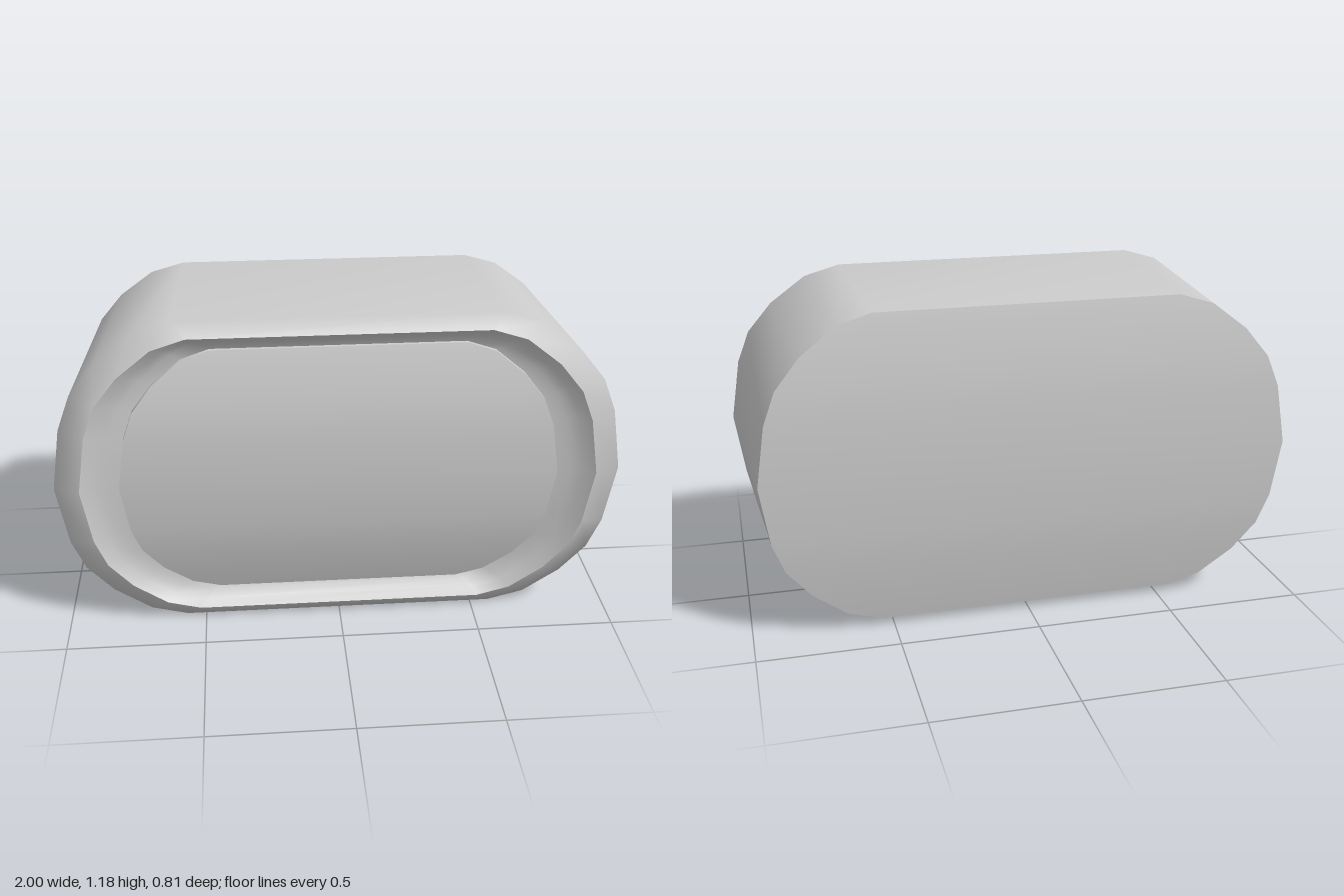
import * as THREE from 'three';

const CENTRE_Y = 0.594;
const material = new THREE.MeshStandardMaterial({ color: 0xcccccc, side: THREE.DoubleSide });

// Right-hand side of the rounded outline, unit half sizes, from bottom to top
const quarter = [[1, 0], [0.965, 0.38], [0.92, 0.58], [0.83, 0.766], [0.7, 0.934], [0.57, 1]];
const side = [...quarter.slice(1).reverse().map(([x, y]) => [x, -y]), ...quarter];

// One half of an outline; z falls off with the square of the height, giving the bowed faces
function half(sign, [a, b, z, drop]) {
  return side.map(([x, y]) => new THREE.Vector3(sign * x * a, CENTRE_Y + y * b, z - drop * y * y));
}

// Closed outline, anticlockwise as seen from the front
function ring(section) {
  return [...half(1, section), ...half(-1, section).reverse()];
}

// Skin a series of point rows
function loft(rows, closed) {
  const n = rows[0].length;
  const index = [];
  for (let r = 0; r < rows.length - 1; r++) {
    for (let i = 0; i < (closed ? n : n - 1); i++) {
      const a = r * n + i, b = r * n + (i + 1) % n;
      index.push(a, b, b + n, a, b + n, a + n);
    }
  }
  const geometry = new THREE.BufferGeometry().setFromPoints(rows.flat());
  geometry.setIndex(index);
  geometry.computeVertexNormals();
  return geometry;
}

export function createModel() {
  const group = new THREE.Group();
  const add = (name, geometry) => {
    const mesh = new THREE.Mesh(geometry, material);
    mesh.name = name;
    group.add(mesh);
  };

  // Sections: half width, half height, z at mid height, fall towards top and bottom
  const back = [0.95, 0.562, -0.405, -0.055];
  const shoulder = [1, 0.59, 0.37, 0.055];
  const rim = [0.91, 0.54, 0.405, 0.05];
  const trough = [[0.87, 0.519, 0.381, 0.056], [0.825, 0.498, 0.366, 0.064], [0.77, 0.474, 0.36, 0.07]];
  const screen = [0.775, 0.477, 0.385, 0.08];
  const screenFoot = [0.775, 0.477, 0.34, 0.08];

  // Tapered casing with a soft bevel up to the rim
  add('casing', loft([back, shoulder, rim].map(ring), true));
  add('backPanel', loft([half(-1, back), half(1, back)], false));

  // Concave surround sloping in to the screen
  add('screenSurround', loft([rim, ...trough].map(ring), true));

  // Bowed screen with a thin edge
  add('screen', loft([half(1, screen), half(-1, screen)], false));
  add('screenEdge', loft([screenFoot, screen].map(ring), true));

  return group;
}
